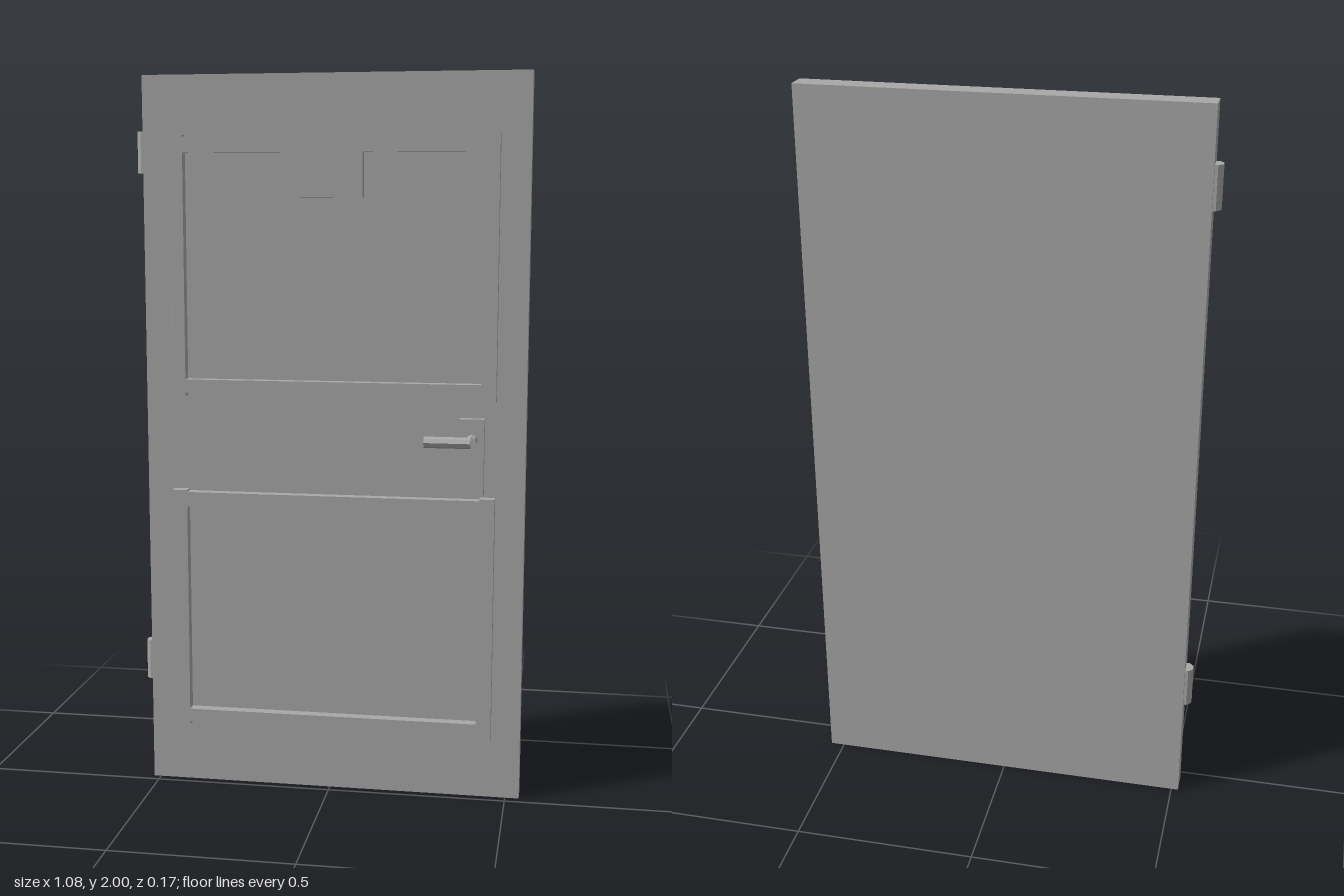
import * as THREE from 'three';

export function createModel() {
  const door = new THREE.Group();
  door.name = 'door';
  const grey = new THREE.MeshStandardMaterial({ color: 0xa8a8a8, flatShading: true });
  grey.name = 'grey';

  // box given by its limits on each axis
  function box(name, x0, x1, y0, y1, z0, z1, parent = door) {
    const mesh = new THREE.Mesh(new THREE.BoxGeometry(x1 - x0, y1 - y0, z1 - z0), grey);
    mesh.name = name;
    mesh.position.set((x0 + x1) / 2, (y0 + y1) / 2, (z0 + z1) / 2);
    parent.add(mesh);
    return mesh;
  }

  function rod(name, radius, length, x, y, z, parent = door) {
    const mesh = new THREE.Mesh(new THREE.CylinderGeometry(radius, radius, length, 8), grey);
    mesh.name = name;
    mesh.position.set(x, y, z);
    parent.add(mesh);
    return mesh;
  }

  // door leaf
  box('doorLeaf', -0.52, 0.539, 0, 2, -0.086, -0.025);

  // raised frames: two stiles, two slightly inset rails and a backing panel
  const back = -0.012, front = 0.018;
  function frame(name, y0, y1) {
    const group = new THREE.Group();
    group.name = name;
    box('leftStile', 0.418, 0.459, y0, y1, back, front, group);
    box('rightStile', -0.44, -0.398, y0, y1, back, front, group);
    box('topRail', -0.398, 0.418, y1 - 0.047, y1 - 0.005, back, front, group);
    box('bottomRail', -0.398, 0.418, y0 + 0.01, y0 + 0.047, back, front, group);
    box('panel', -0.402, 0.422, y0 + 0.029, y1 - 0.028, -0.025, back, group);
    door.add(group);
    return group;
  }
  const upper = frame('upperFrame', 1.127, 1.838);
  frame('lowerFrame', 0.178, 0.862);

  // square tab hanging from the upper rail
  box('nameTab', -0.077, 0.095, 1.67, 1.791, back, front, upper);

  // lock plate and L-shaped handle
  const handle = new THREE.Group();
  handle.name = 'handle';
  box('lockPlate', 0.36, 0.428, 0.867, 1.08, back, 0.013, handle);
  rod('handleStem', 0.0155, 0.06, 0.396, 1.024, 0.041, handle).rotation.x = Math.PI / 2;
  rod('handleLever', 0.0155, 0.125, 0.3335, 1.024, 0.071, handle).rotation.z = Math.PI / 2;
  door.add(handle);

  // hinge knuckles half sunk into the edge
  for (const [name, y] of [['upperHinge', 1.793], ['lowerHinge', 0.349]]) {
    rod(name, 0.0225, 0.114, -0.52, y, -0.055).rotation.y = Math.PI / 8;
  }
  return door;
}
